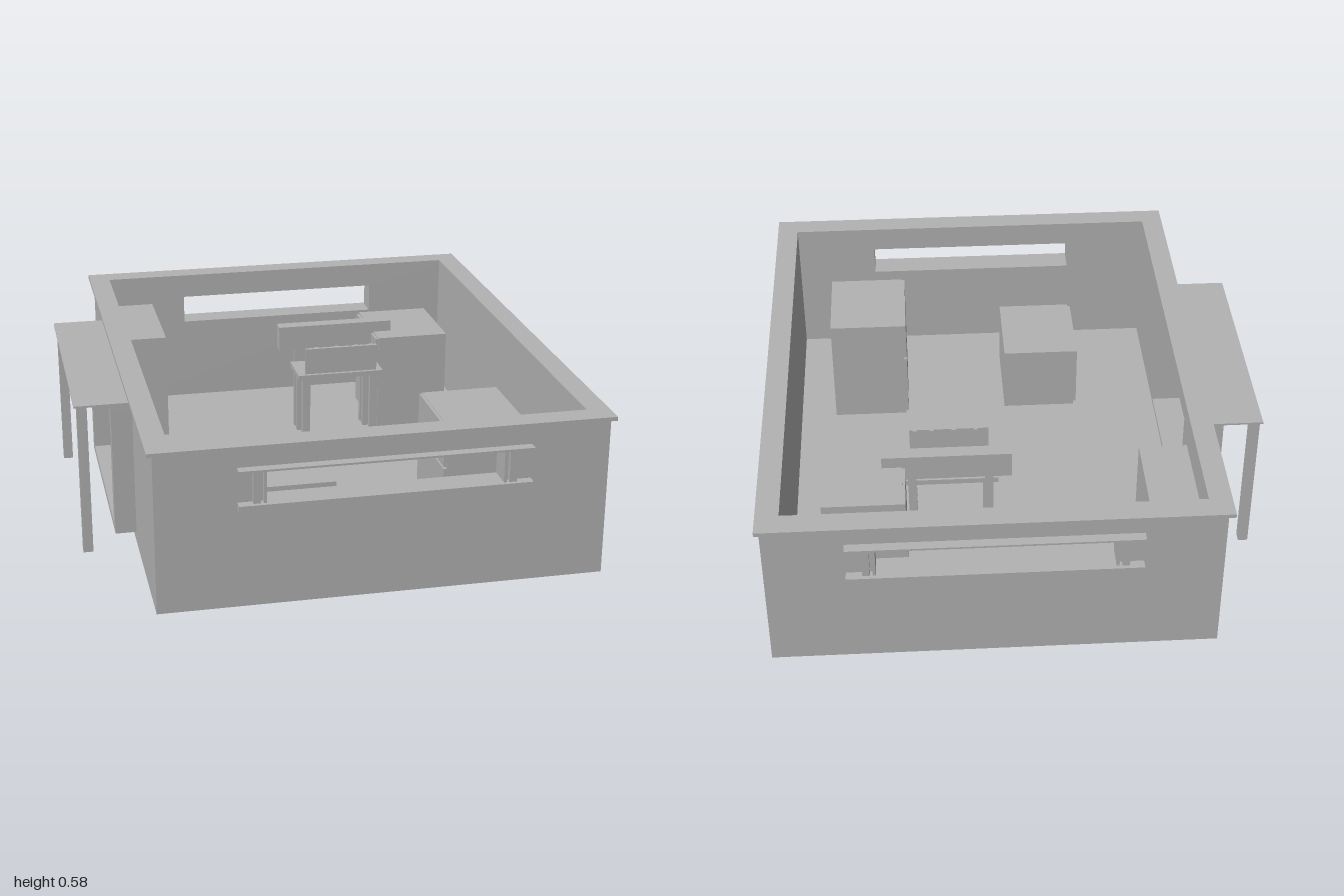
import * as THREE from 'three';

const grey = new THREE.MeshStandardMaterial({ color: 0xb2b2b2 });
grey.name = 'plain grey';

export function createModel() {
  const model = new THREE.Group();
  model.name = 'smallBuilding';

  // Box given by its limits on each axis
  function box(name, x0, x1, y0, y1, z0, z1, parent = model) {
    const mesh = new THREE.Mesh(new THREE.BoxGeometry(x1 - x0, y1 - y0, z1 - z0), grey);
    mesh.position.set((x0 + x1) / 2, (y0 + y1) / 2, (z0 + z1) / 2);
    mesh.name = name;
    parent.add(mesh);
    return mesh;
  }

  // Flat rectangle with one rectangular hole, extruded along its local z
  function holedPanel(name, [a0, a1, b0, b1], [c0, c1, d0, d1], depth) {
    const outline = (p0, p1, q0, q1) => [[p0, q0], [p1, q0], [p1, q1], [p0, q1]].map(([u, v]) => new THREE.Vector2(u, v));
    const shape = new THREE.Shape(outline(a0, a1, b0, b1));
    shape.holes.push(new THREE.Path(outline(c0, c1, d0, d1).reverse()));
    const mesh = new THREE.Mesh(new THREE.ExtrudeGeometry(shape, { depth, bevelEnabled: false }), grey);
    mesh.name = name;
    model.add(mesh);
    return mesh;
  }

  const floorY = 0.05, wallTop = 0.57;

  // Floor and walls
  box('floor', -0.68, 0.87, 0, floorY, -0.965, 0.965);
  box('leftWall', 0.805, 0.87, 0, wallTop, -0.965, 0.965);
  const window = [-0.31, 0.495, 0.38, 0.49];
  holedPanel('frontWall', [-0.68, 0.87, 0, wallTop], window, 0.065).position.z = 0.9;
  holedPanel('backWall', [-0.68, 0.87, 0, wallTop], window, 0.065).position.z = -0.965;
  const doorWall = holedPanel('doorWall', [-0.965, 0.965, 0, wallTop], [-0.36, 0.36, 0.065, 0.51], 0.06);
  doorWall.rotation.y = -Math.PI / 2;
  doorWall.position.x = -0.62;

  // Overhanging rim along the wall tops
  const rim = holedPanel('wallCap', [-0.7, 0.885, -0.985, 0.985], [-0.62, 0.805, -0.9, 0.9], 0.014);
  rim.rotation.x = -Math.PI / 2;
  rim.position.y = wallTop;

  // Window surrounds on front and back
  for (const [side, s] of [['front', 1], ['back', -1]]) {
    const g = new THREE.Group();
    g.name = side + 'WindowSurround';
    const add = (name, x0, x1, y0, y1, out) =>
      box(name, x0, x1, y0, y1, Math.min(s * 0.96, s * out), Math.max(s * 0.96, s * out), g);
    add('windowSill', -0.405, 0.595, 0.355, 0.38, 1);
    add('windowHood', -0.405, 0.595, 0.496, 0.503, 1);
    for (const [x0, x1] of [[-0.355, -0.33], [-0.32, -0.31], [0.495, 0.505], [0.515, 0.54]])
      add('windowPost', x0, x1, 0.38, 0.496, 0.986);
    model.add(g);
  }

  // Projecting doorway
  box('doorSill', -0.755, -0.62, 0.042, 0.066, -0.41, 0.41);
  box('doorLintel', -0.755, -0.68, 0.51, 0.531, -0.41, 0.41);
  box('doorHood', -0.78, -0.68, 0.531, 0.541, -0.43, 0.43);
  for (const s of [-1, 1]) {
    const z = s * 0.385;
    box('doorJamb', -0.755, -0.68, 0.042, 0.531, z - 0.025, z + 0.025);
    box('canopyPost', -0.875, -0.84, 0, 0.55, s * 0.435 - 0.018, s * 0.435 + 0.018);
  }
  box('canopy', -0.885, -0.68, 0.55, 0.557, -0.46, 0.455);

  // Cupboards
  box('wardrobe', -0.617, -0.445, floorY, 0.467, -0.9, -0.46);
  box('tallCabinet', 0.385, 0.667, floorY, 0.472, 0.35, 0.69);
  box('tallCabinetLowerDoor', 0.374, 0.385, floorY + 0.01, 0.312, 0.353, 0.687);
  box('tallCabinetUpperDoor', 0.374, 0.385, 0.32, 0.47, 0.353, 0.687);
  box('lowCabinet', -0.295, -0.015, floorY, 0.31, 0.37, 0.71);
  box('lowCabinetDoor', -0.306, -0.295, floorY + 0.01, 0.305, 0.375, 0.705);
  box('sideCabinet', 0.4, 0.682, floorY, 0.44, -0.695, -0.355);
  box('sideCabinetDoor', 0.39, 0.4, floorY + 0.01, 0.435, -0.69, -0.36);

  // Bench: seat, legs, rear bar and battened panel
  box('benchSeat', 0.055, 0.398, 0.315, 0.335, -0.44, -0.27);
  for (const x of [0.075, 0.35])
    for (const z of [-0.425, -0.31])
      box('benchLeg', x, x + 0.03, floorY, 0.315, z, z + 0.025);
  box('benchBar', 0.01, 0.472, 0.385, 0.483, -0.492, -0.44);
  for (const x of [0.075, 0.35]) box('barSupport', x, x + 0.03, floorY, 0.385, -0.475, -0.45);
  box('benchPanel', 0.083, 0.371, 0.34, 0.444, -0.284, -0.27);
  for (const x of [0.13, 0.21, 0.29, 0.35])
    box('panelBatten', x - 0.008, x + 0.008, 0.335, 0.444, -0.292, -0.284);

  return model;
}
